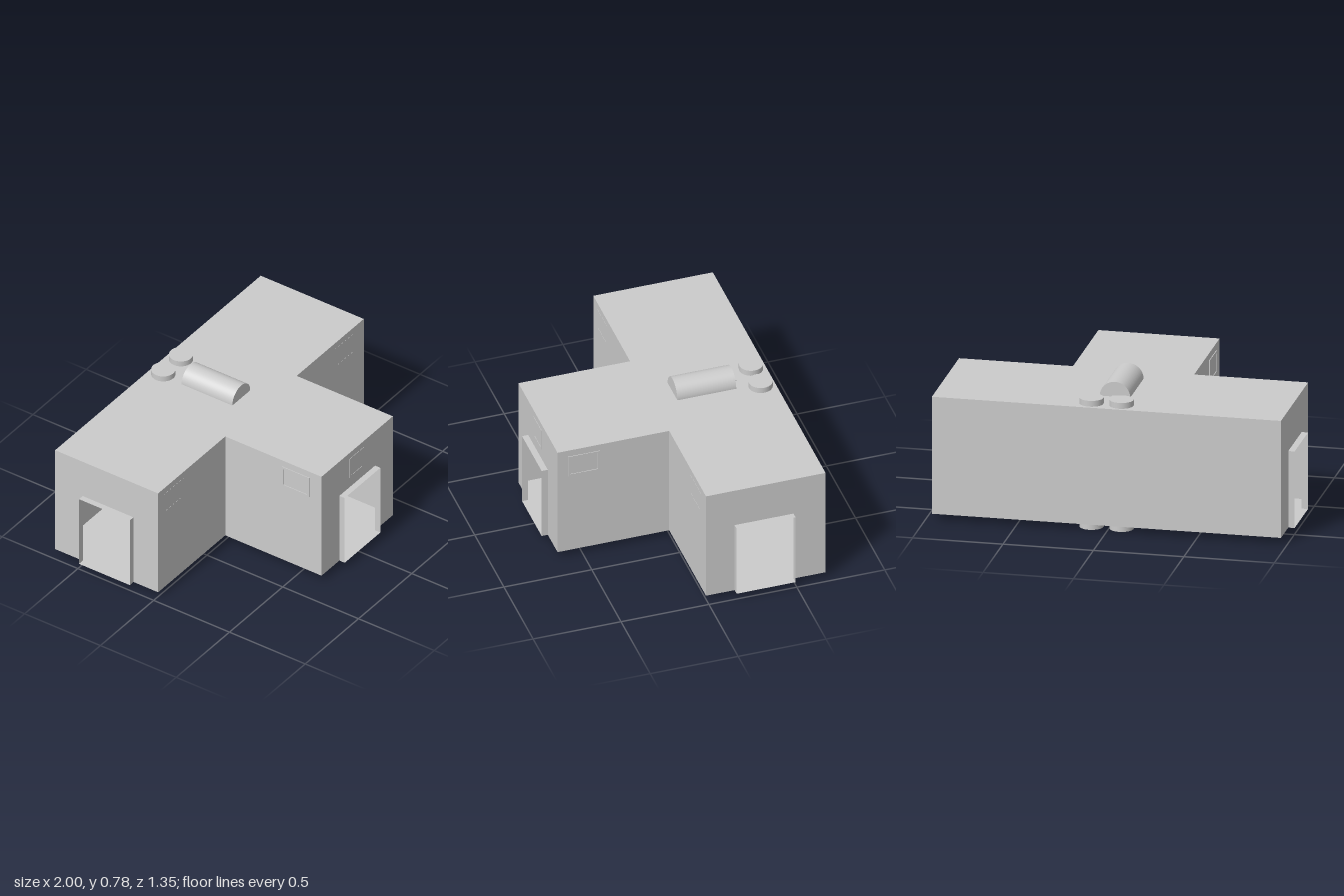
import * as THREE from 'three';

const mat = new THREE.MeshStandardMaterial({ color: 0xcccccc, side: THREE.DoubleSide });
const FLOOR = 0.035, ROOF = 0.7, DOOR_W = 0.335, DOOR_TOP = 0.47, PORCH = 0.035;

// T-shaped plan as [x, z], running counter-clockwise seen from above
const plan = [[-0.335, 0.64], [0.335, 0.64], [0.335, 0.005], [0.965, 0.005],
  [0.965, -0.675], [-0.965, -0.675], [-0.965, 0.005], [-0.335, 0.005]];

// Doors: wall index -> distance of door centre along that wall
const doors = { 0: 0.335, 3: 0.33, 5: 0.35 };

// Windows: wall index, distance along wall, width, projection
const windows = [[0, 0.33, 0.13, 0.002], [1, 0.15, 0.18, 0.004], [2, 0.455, 0.18, 0.001],
  [6, 0.145, 0.18, 0.001], [7, 0.465, 0.18, 0.004]];

function add(parent, name, geometry, x = 0, y = 0, z = 0) {
  const mesh = new THREE.Mesh(geometry, mat);
  mesh.name = name;
  mesh.position.set(x, y, z);
  parent.add(mesh);
  return mesh;
}

function rect(path, x0, y0, x1, y1) {
  path.moveTo(x0, y0).lineTo(x1, y0).lineTo(x1, y1).lineTo(x0, y1).closePath();
  return path;
}

// Thin door surround projecting from the wall: jambs, lintel and sill
function doorSurround(parent, centre) {
  const h = DOOR_TOP - FLOOR;
  for (const s of [-1, 1]) {
    add(parent, 'doorJamb', new THREE.PlaneGeometry(PORCH, h).rotateY(s * Math.PI / 2),
      centre + s * DOOR_W / 2, FLOOR + h / 2, PORCH / 2);
  }
  for (const [name, y, s] of [['doorLintel', DOOR_TOP, -1], ['doorSill', FLOOR, 1]]) {
    add(parent, name, new THREE.PlaneGeometry(DOOR_W, PORCH).rotateX(s * Math.PI / 2),
      centre, y, PORCH / 2);
  }
}

// Small high window: shallow frame around a flat pane
function windowPanel(parent, centre, width, depth) {
  const bar = 0.012, y0 = 0.53, y1 = 0.66;
  const frame = rect(new THREE.Shape(), centre - width / 2, y0, centre + width / 2, y1);
  frame.holes.push(rect(new THREE.Path(), centre - width / 2 + bar, y0 + bar,
    centre + width / 2 - bar, y1 - bar));
  add(parent, 'windowFrame',
    new THREE.ExtrudeGeometry(frame, { depth: depth * 2, bevelEnabled: false }), 0, 0, -depth);
}

export function createModel() {
  const model = new THREE.Group();

  // Outer walls, each built flat and turned onto its plan edge
  plan.forEach(([ax, az], i) => {
    const [bx, bz] = plan[(i + 1) % plan.length];
    const wall = new THREE.Group();
    wall.name = 'wall';
    wall.position.set(ax, 0, az);
    wall.rotation.y = Math.atan2(az - bz, bx - ax);
    const shape = new THREE.Shape();
    const len = Math.hypot(bx - ax, bz - az);
    const c = doors[i];
    shape.moveTo(0, FLOOR);
    if (c !== undefined) {
      shape.lineTo(c - DOOR_W / 2, FLOOR).lineTo(c - DOOR_W / 2, DOOR_TOP)
        .lineTo(c + DOOR_W / 2, DOOR_TOP).lineTo(c + DOOR_W / 2, FLOOR);
      doorSurround(wall, c);
    }
    shape.lineTo(len, FLOOR).lineTo(len, ROOF).lineTo(0, ROOF).closePath();
    add(wall, 'wallPanel', new THREE.ShapeGeometry(shape));
    for (const [w, at, width, depth] of windows) if (w === i) windowPanel(wall, at, width, depth);
    model.add(wall);
  });

  // Floor and flat roof share the T-shaped plan
  const slab = new THREE.Shape(plan.map(([x, z]) => new THREE.Vector2(x, -z)));
  add(model, 'roof', new THREE.ShapeGeometry(slab).rotateX(-Math.PI / 2), 0, ROOF, 0);
  const under = new THREE.Shape(plan.map(([x, z]) => new THREE.Vector2(x, z)));
  add(model, 'floor', new THREE.ShapeGeometry(under).rotateX(Math.PI / 2), 0, FLOOR, 0);

  // Two upright tanks passing through floor and roof
  for (const x of [-0.066, 0.1]) {
    add(model, 'tank', new THREE.CylinderGeometry(0.066, 0.066, 0.733, 32), x, 0.3665, -0.593);
  }

  // Thin shelves on the back wall, behind and around the tanks
  add(model, 'lowerShelf', new THREE.BoxGeometry(0.5, 0.004, 0.17), 0.017, 0.13, -0.589);
  add(model, 'backboard', new THREE.BoxGeometry(0.5, 0.13, 0.006), 0.017, 0.195, -0.671);

  // Half-round roof vent with a small plate at its rear end
  const arch = new THREE.Shape();
  arch.absarc(0, 0, 0.084, 0, Math.PI, false);
  arch.closePath();
  add(model, 'roofVent', new THREE.ExtrudeGeometry(arch,
    { depth: 0.335, bevelEnabled: false, curveSegments: 24 }), 0, ROOF, -0.46);
  add(model, 'ventPlate', new THREE.BoxGeometry(0.03, 0.006, 0.025), 0, ROOF + 0.003, -0.4725);

  return model;
}
